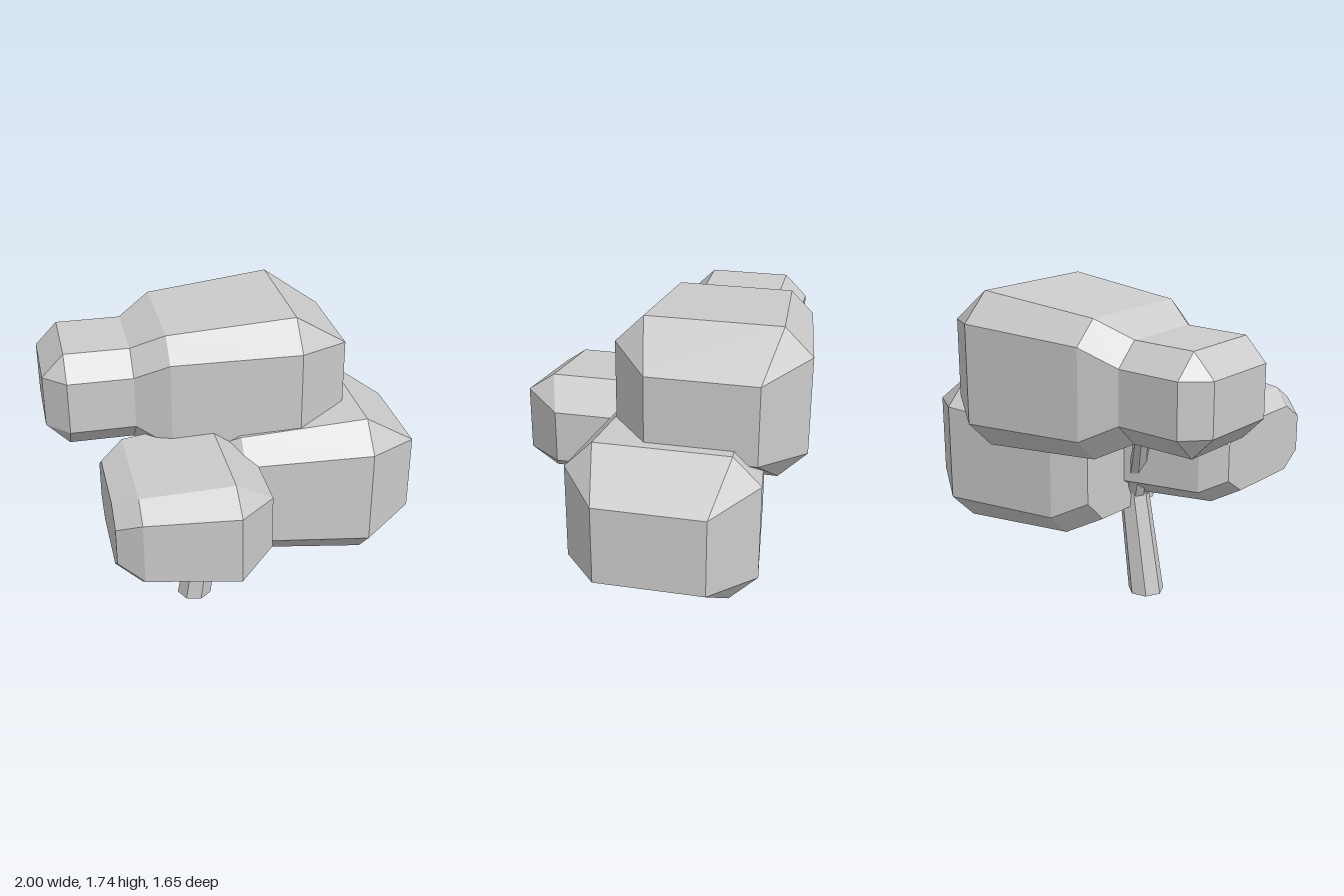
import * as THREE from 'three';

const material = new THREE.MeshStandardMaterial({ color: 0xcccccc, flatShading: true });

// Skin a list of equal-length rings (counter-clockwise seen from the last ring), with both ends capped
function loft(name, rings) {
  const positions = [];
  const tri = (...points) => points.forEach((p) => positions.push(p.x, p.y, p.z));
  const n = rings[0].length;
  const middle = (ring) => ring.reduce((s, p) => s.add(p), new THREE.Vector3()).divideScalar(n);
  const first = rings[0], last = rings[rings.length - 1];
  const startCentre = middle(first), endCentre = middle(last);
  for (let j = 0; j < n; j++) {
    const k = (j + 1) % n;
    for (let i = 0; i < rings.length - 1; i++) {
      const a = rings[i], b = rings[i + 1];
      tri(a[j], a[k], b[k]);
      tri(a[j], b[k], b[j]);
    }
    tri(startCentre, first[k], first[j]);
    tri(endCentre, last[j], last[k]);
  }
  const geometry = new THREE.BufferGeometry();
  geometry.setAttribute('position', new THREE.Float32BufferAttribute(positions, 3));
  geometry.computeVertexNormals();
  const mesh = new THREE.Mesh(geometry, material);
  mesh.name = name;
  return mesh;
}

// Rectangle with cut corners, across the x axis
function cutRectangle([x, h, w, c]) {
  return [
    [h, -w + c], [h, w - c], [h - c, w], [-h + c, w],
    [-h, w - c], [-h, -w + c], [-h + c, -w], [h - c, -w],
  ].map(([y, z]) => new THREE.Vector3(x, y, z));
}

// Leaf clump sections: x, half height, half depth, corner cut
const clumpSections = [
  [-0.53, 0.2625, 0.335, 0.12],
  [-0.35, 0.357, 0.428, 0.12],
  [0.34, 0.415, 0.505, 0.15],
  [0.637, 0.215, 0.288, 0],
];
// Narrow extension of the top clump
const extensionSections = [
  [-1, 0.14, 0.215, 0],
  [-0.88, 0.2625, 0.335, 0.12],
];

function leafClump(name, sections, position, scale = [1, 1, 1]) {
  const mesh = loft(name, sections.map(cutRectangle));
  mesh.position.set(...position);
  mesh.scale.set(...scale);
  return mesh;
}

// Seven-sided limb through points given as x, y, z, radius
function limb(name, points) {
  return loft(name, points.map(([x, y, z, r]) =>
    Array.from({ length: 7 }, (_, i) => {
      const t = -Math.PI / 2 + (i / 7) * Math.PI * 2;
      return new THREE.Vector3(x + r * Math.sin(t), y, z + r * Math.cos(t));
    })));
}

export function createModel() {
  const tree = new THREE.Group();
  tree.name = 'tree';

  // Leaning trunk and its branches
  tree.add(
    limb('trunk', [[-0.222, 0, -0.05, 0.1], [-0.13, 0.6, -0.05, 0.083], [-0.08, 0.75, -0.06, 0.06]]),
    limb('upperBranch', [[-0.14, 0.54, -0.05, 0.06], [-0.24, 0.78, -0.14, 0.05], [-0.4, 1.15, -0.3, 0.035]]),
    limb('frontBranch', [[-0.14, 0.54, -0.05, 0.06], [-0.25, 0.8, 0.15, 0.04]]),
  );

  // Three leaf clumps
  tree.add(
    leafClump('topLeaves', [...extensionSections, ...clumpSections], [0, 1.325, -0.325]),
    leafClump('sideLeaves', clumpSections, [0.363, 0.775, -0.143]),
    leafClump('frontLeaves', clumpSections, [-0.367, 0.865, 0.32], [0.7, 0.7, 1]),
  );
  return tree;
}
